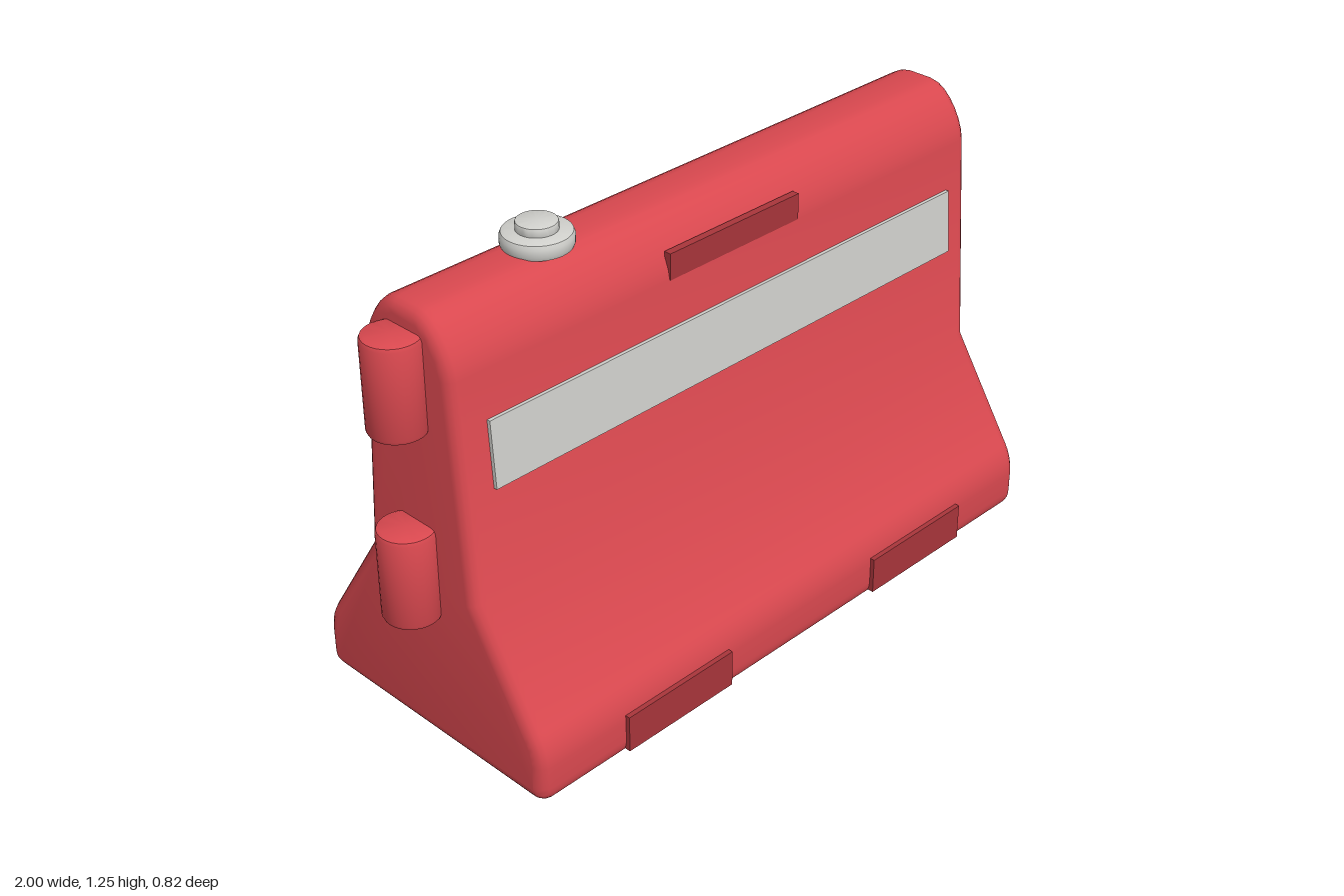
import * as THREE from 'three';
import { toCreasedNormals } from 'three/addons/utils/BufferGeometryUtils.js';

function material(name, color) {
  const m = new THREE.MeshStandardMaterial({ color });
  m.name = name;
  return m;
}

export function createModel() {
  const group = new THREE.Group();
  const red = material('red plastic', 0xd9484f);
  const darkRed = material('dark red recess', 0xa8353b);
  const grey = material('light grey', 0xd0d0cc);

  const add = (name, geometry, mat, x, y, z) => {
    const mesh = new THREE.Mesh(geometry, mat);
    mesh.name = name;
    mesh.position.set(x, y, z);
    group.add(mesh);
    return mesh;
  };

  // Barrier body: flared cross-section, rounded foot and crown
  const half = new THREE.Path();
  half.moveTo(0.355, 0.003);
  half.quadraticCurveTo(0.4, 0.003, 0.4, 0.05);
  half.lineTo(0.4, 0.11);
  half.quadraticCurveTo(0.398, 0.16, 0.37, 0.2);
  half.lineTo(0.193, 0.475);
  half.lineTo(0.153, 1.05);
  half.bezierCurveTo(0.148, 1.11, 0.09, 1.195, 0.035, 1.195);
  const right = half.getPoints(7);
  const left = right.map((p) => new THREE.Vector2(-p.x, p.y)).reverse();
  const bevel = 0.035;
  const length = 1.79;
  const body = new THREE.ExtrudeGeometry(new THREE.Shape([...right, ...left]), {
    depth: length - 2 * bevel,
    bevelEnabled: true,
    bevelSize: bevel,
    bevelThickness: bevel,
    bevelOffset: -bevel,
    bevelSegments: 4,
  });
  body.translate(0, 0, -(length - 2 * bevel) / 2);
  body.rotateY(Math.PI / 2);
  add('body', toCreasedNormals(body, 0.8), red, 0, 0, 0);

  // Interlocking end pegs, staggered between the two ends
  const h = 0.125, r = 0.073, c = 0.012;
  const peg = toCreasedNormals(new THREE.LatheGeometry([
    new THREE.Vector2(0, -h), new THREE.Vector2(r - c, -h),
    new THREE.Vector2(r - c * 0.3, -h + c * 0.3), new THREE.Vector2(r, -h + c),
    new THREE.Vector2(r, h - c), new THREE.Vector2(r - c * 0.3, h - c * 0.3),
    new THREE.Vector2(r - c, h), new THREE.Vector2(0, h),
  ], 32), 0.6);
  for (const [x, y] of [[0.927, 0.25], [0.927, 0.755], [-0.927, 0.505], [-0.927, 1.012]]) {
    add('endPeg', peg, red, x, y, 0);
  }

  // Reflective bands, fork pockets and hand grips on both faces
  const tilt = Math.atan2(0.04, 0.575);
  for (const side of [1, -1]) {
    const band = add('reflectiveBand', new THREE.BoxGeometry(1.61, 0.176, 0.016),
      grey, 0, 0.842, side * 0.1695);
    band.rotation.x = -side * tilt;
    add('handGrip', new THREE.BoxGeometry(0.446, 0.07, 0.02), darkRed, 0, 1.086, side * 0.145);
    for (const x of [-0.448, 0.448]) {
      add('forkPocket', new THREE.BoxGeometry(0.356, 0.102, 0.03), darkRed, x, 0.074, side * 0.397);
    }
  }

  // Filler cap with a smaller raised knob
  const disc = (radius, height, edge) => toCreasedNormals(new THREE.LatheGeometry([
    new THREE.Vector2(0, 0), new THREE.Vector2(radius - edge, 0),
    new THREE.Vector2(radius - edge * 0.3, edge * 0.3), new THREE.Vector2(radius, edge),
    new THREE.Vector2(radius, height - edge), new THREE.Vector2(radius - edge * 0.3, height - edge * 0.3),
    new THREE.Vector2(radius - edge, height), new THREE.Vector2(0, height),
  ], 40), 0.6);
  add('fillerCap', disc(0.088, 0.046, 0.014), grey, -0.495, 1.187, 0);
  add('capKnob', disc(0.051, 0.03, 0.004), grey, -0.495, 1.225, 0);

  return group;
}
